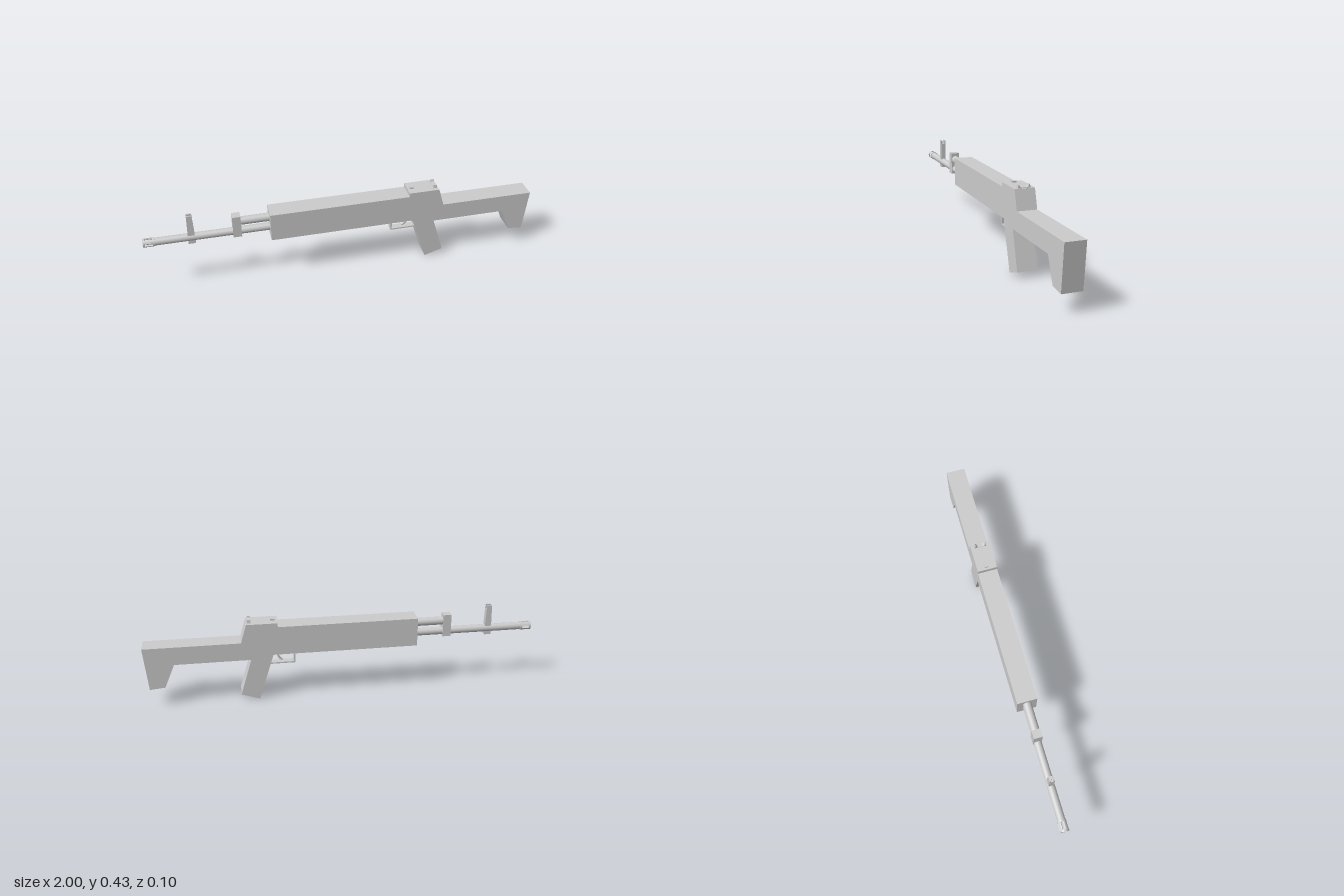
import * as THREE from 'three';

const mat = new THREE.MeshStandardMaterial({ color: 0xcccccc, side: THREE.DoubleSide });
const flatMat = new THREE.MeshStandardMaterial({ color: 0xcccccc, flatShading: true });

export function createModel() {
  const root = new THREE.Group();

  function add(name, geometry, material = flatMat, parent = root) {
    const mesh = new THREE.Mesh(geometry, material);
    mesh.name = name;
    parent.add(mesh);
    return mesh;
  }
  function box(name, x0, x1, y0, y1, w, parent = root) {
    const m = add(name, new THREE.BoxGeometry(x1 - x0, y1 - y0, w), flatMat, parent);
    m.position.set((x0 + x1) / 2, (y0 + y1) / 2, 0);
    return m;
  }
  // cylinder lying along x
  function rod(name, x0, x1, y, r) {
    const g = new THREE.CylinderGeometry(r, r, x1 - x0, 24).rotateZ(Math.PI / 2);
    add(name, g, mat).position.set((x0 + x1) / 2, y, 0);
  }
  const polygon = pts => new THREE.Shape(pts.map(p => new THREE.Vector2(...p)));
  // side profile in x/y, centred across z
  const slab = (shape, w) => new THREE.ExtrudeGeometry(shape, { depth: w, bevelEnabled: false, curveSegments: 12 })
    .translate(0, 0, -w / 2);
  // profile across z/y, running from x0 to x1
  const across = (shape, x0, x1) => new THREE.ExtrudeGeometry(shape, { depth: x1 - x0, bevelEnabled: false, curveSegments: 12 })
    .rotateY(Math.PI / 2).translate(x0, 0, 0);

  // Receiver, grip and stock in one outline
  add('body', slab(polygon([
    [-0.379, 0.243], [0.36, 0.243], [0.438, 0], [0.531, 0.031], [0.472, 0.223],
    [0.852, 0.223], [0.905, 0.101], [0.982, 0.094], [1, 0.317], [0.518, 0.317],
    [0.489, 0.413], [0.333, 0.413], [0.333, 0.392], [-0.379, 0.392],
  ]), 0.1));

  // Barrel and gas tube with the block that joins them
  const barrelY = 0.297, barrelR = 0.0195;
  rod('barrel', -0.95, -0.37, barrelY, barrelR);
  rod('gasTube', -0.53, -0.37, 0.353, 0.021);
  box('gasBlock', -0.563, -0.521, 0.272, 0.39, 0.044);

  // Slotted hollow muzzle: end ring, four bars and a rear collar
  const muzzle = new THREE.Group();
  muzzle.name = 'muzzle';
  muzzle.position.y = barrelY;
  root.add(muzzle);
  const ro = 0.022, ri = 0.015;
  const ring = new THREE.Shape().absarc(0, 0, ro, 0, Math.PI * 2);
  ring.holes.push(new THREE.Path().absarc(0, 0, ri, 0, Math.PI * 2, true));
  add('muzzleRing', across(ring, -1, -0.99), mat, muzzle);
  add('muzzleCollar', across(ring, -0.953, -0.943), mat, muzzle);
  for (let i = 0; i < 4; i++) {
    const mid = Math.PI / 4 + i * Math.PI / 2, half = 0.38;
    const bar = new THREE.Shape();
    bar.absarc(0, 0, ro, mid - half, mid + half);
    bar.absarc(0, 0, ri, mid + half, mid - half, true);
    add('muzzleBar', across(bar, -0.99, -0.953), mat, muzzle);
  }

  // Front sight: tapered post with a notch between two ears
  add('frontSightPost', slab(polygon([
    [-0.785, 0.264], [-0.748, 0.264], [-0.752, 0.405], [-0.78, 0.405],
  ]), 0.026));
  for (const s of [-1, 1]) {
    add('frontSightEar', slab(polygon([
      [-0.78, 0.405], [-0.752, 0.405], [-0.753, 0.426], [-0.779, 0.426],
    ]), 0.006)).position.z = s * 0.01;
  }
  box('frontSightPin', -0.769, -0.763, 0.405, 0.419, 0.004);

  // Rear sight: two ears with curved inner faces
  for (const s of [-1, 1]) {
    const ear = new THREE.Shape();
    ear.moveTo(s * 0.031, 0.412);
    ear.lineTo(s * 0.028, 0.43);
    ear.lineTo(s * 0.024, 0.43);
    ear.quadraticCurveTo(s * 0.021, 0.416, s * 0.01, 0.415);
    ear.lineTo(s * 0.01, 0.412);
    add('rearSightEar', across(ear, 0.465, 0.483));
  }
  box('rearSightBase', 0.465, 0.483, 0.411, 0.415, 0.024);
  box('sightRest', 0.345, 0.367, 0.411, 0.421, 0.02);

  // Trigger guard and curved trigger
  const guard = new THREE.Group();
  guard.name = 'triggerGuard';
  root.add(guard);
  box('guardFront', 0.248, 0.255, 0.178, 0.245, 0.036, guard);
  box('guardBottom', 0.248, 0.385, 0.178, 0.185, 0.036, guard);
  const trigger = new THREE.Shape();
  trigger.moveTo(0.33, 0.246);
  trigger.quadraticCurveTo(0.336, 0.206, 0.311, 0.196);
  trigger.lineTo(0.313, 0.19);
  trigger.quadraticCurveTo(0.345, 0.2, 0.341, 0.246);
  add('trigger', slab(trigger, 0.016));

  return root;
}
